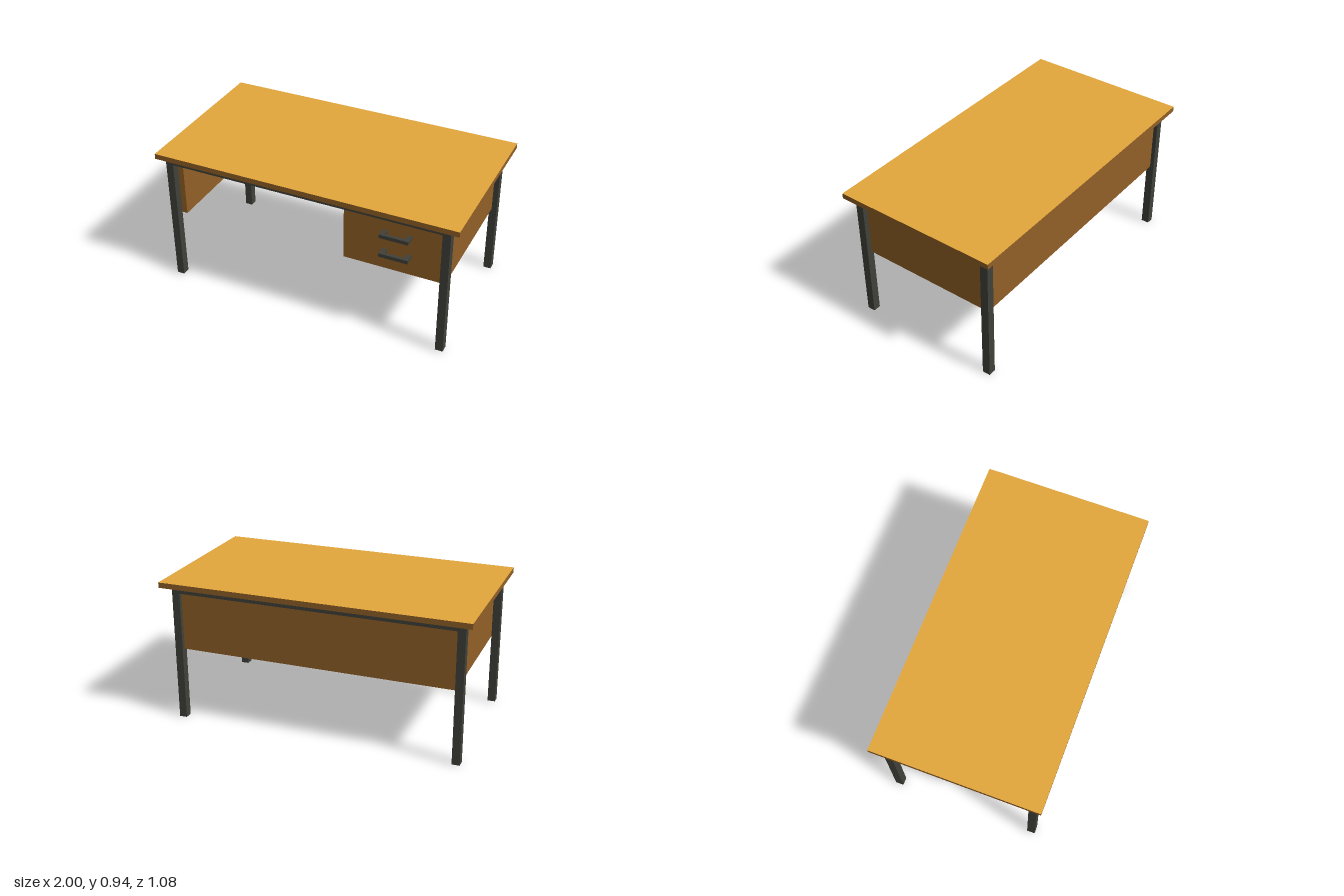
import * as THREE from 'three';

export function createModel() {
  const desk = new THREE.Group();
  desk.name = 'desk';
  const paint = (name, color) => {
    const material = new THREE.MeshStandardMaterial({ color });
    material.name = name;
    return material;
  };
  const lightWood = paint('light wood', 0xe4a63c);
  const brownWood = paint('brown wood', 0x926027);
  const metal = paint('dark metal', 0x40413a);

  // Box given by its lower and upper limits on each axis
  function box(name, material, [x0, x1], [y0, y1], [z0, z1], parent = desk) {
    const mesh = new THREE.Mesh(new THREE.BoxGeometry(x1 - x0, y1 - y0, z1 - z0), material);
    mesh.position.set((x0 + x1) / 2, (y0 + y1) / 2, (z0 + z1) / 2);
    mesh.name = name;
    parent.add(mesh);
  }

  // Worktop: brown board with a light upper face
  const boardFaces = [brownWood, brownWood, lightWood, brownWood, brownWood, brownWood];
  box('worktop', boardFaces, [-1, 1], [0.9, 0.935], [-0.54, 0.54]);

  // Steel frame: two legs joined by a rail, at the front and at the back
  const frames = [
    ['front', [0.448, 0.5], 0.007],
    ['back', [-0.486, -0.434], 0],
  ];
  for (const [side, z, foot] of frames) {
    box(side + 'RightLeg', metal, [-0.95, -0.9], [foot, 0.9], z);
    box(side + 'LeftLeg', metal, [0.888, 0.938], [foot, 0.9], z);
    box(side + 'Rail', metal, [-0.9, 0.888], [0.857, 0.9], z);
  }

  // Side panel, modesty panel and drawer pedestal
  box('sidePanel', brownWood, [-0.9, -0.863], [0.476, 0.9], [-0.434, 0.448]);
  box('backPanel', brownWood, [-0.9, 0.888], [0.476, 0.9], [-0.46, -0.425]);
  box('drawerPedestal', brownWood, [0.25, 0.905], [0.476, 0.9], [-0.434, 0.447]);

  // Drawer handles: a bar on two posts
  for (const [name, y] of [['upperHandle', 0.742], ['lowerHandle', 0.607]]) {
    const handle = new THREE.Group();
    handle.name = name;
    desk.add(handle);
    const height = [y - 0.012, y + 0.012];
    box('bar', metal, [0.503, 0.688], height, [0.488, 0.51], handle);
    box('post', metal, [0.503, 0.533], height, [0.44, 0.488], handle);
    box('post', metal, [0.658, 0.688], height, [0.44, 0.488], handle);
  }
  return desk;
}
